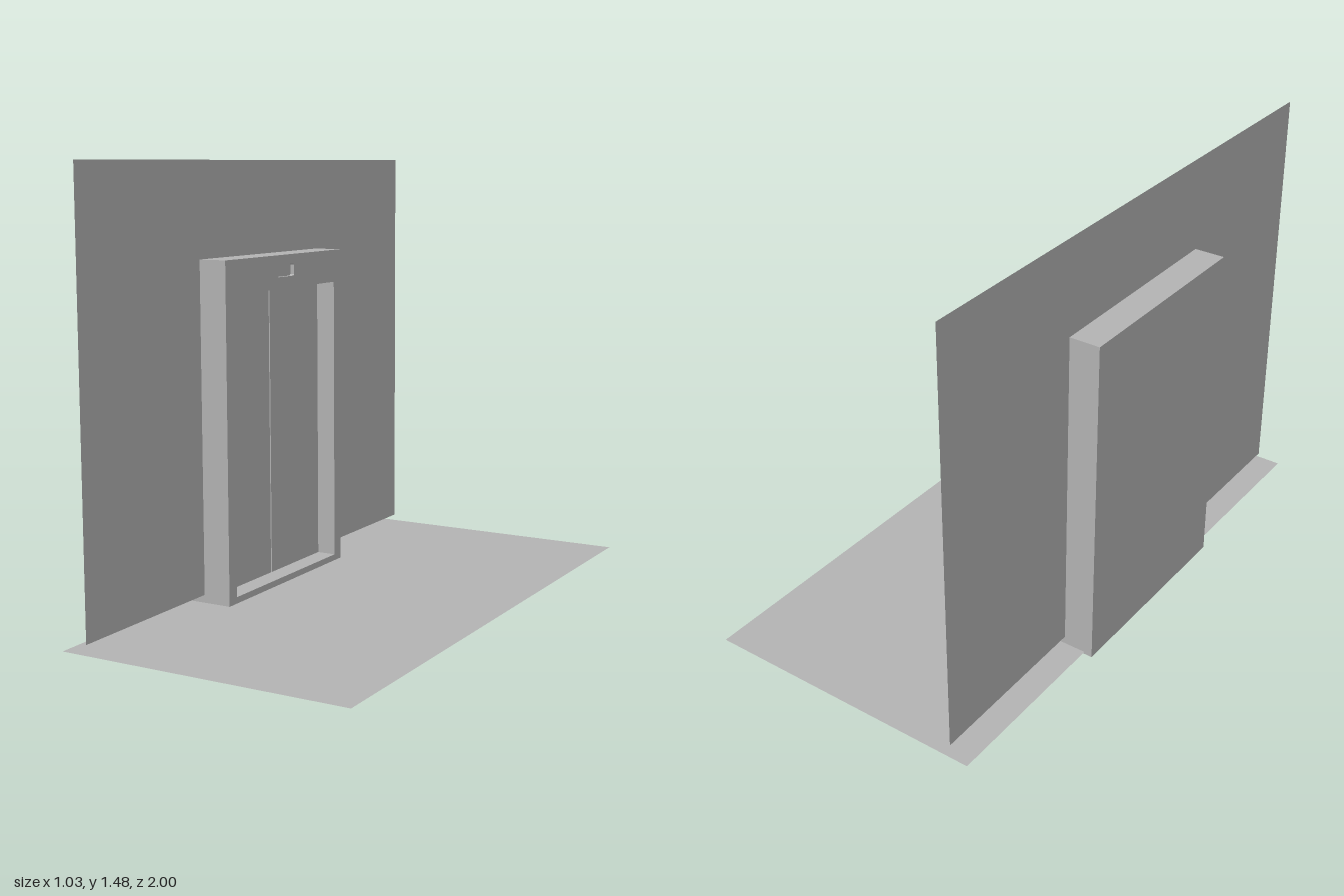
import * as THREE from 'three';

const grey = new THREE.MeshStandardMaterial({ color: 0xb3b3b3 });
grey.name = 'plain grey';
const greySheet = new THREE.MeshStandardMaterial({ color: 0xb3b3b3, side: THREE.DoubleSide });
greySheet.name = 'plain grey sheet';

// box given by its limits on each axis
function box(name, [x0, x1], [y0, y1], [z0, z1]) {
  const mesh = new THREE.Mesh(new THREE.BoxGeometry(x1 - x0, y1 - y0, z1 - z0), grey);
  mesh.position.set((x0 + x1) / 2, (y0 + y1) / 2, (z0 + z1) / 2);
  mesh.name = name;
  return mesh;
}

// rectangle with clipped corners; shape x runs along -z of the model
function outline(Type, [z0, z1], [y0, y1], c = 0) {
  const [a, b] = [-z1, -z0];
  const points = c
    ? [[a + c, y0], [b - c, y0], [b, y0 + c], [b, y1 - c], [b - c, y1], [a + c, y1], [a, y1 - c], [a, y0 + c]]
    : [[a, y0], [b, y0], [b, y1], [a, y1]];
  return new Type(points.map(([x, y]) => new THREE.Vector2(x, y)));
}

export function createModel() {
  const model = new THREE.Group();
  model.name = 'elevator';

  // floor and wall are single sheets
  const floor = new THREE.Mesh(new THREE.PlaneGeometry(1, 2).rotateX(-Math.PI / 2), greySheet);
  floor.position.set(0.013, 0.008, 0);
  floor.name = 'floor';
  const wall = new THREE.Mesh(new THREE.PlaneGeometry(1.965, 1.44).rotateY(Math.PI / 2), greySheet);
  wall.position.set(-0.41, 0.755, 0);
  wall.name = 'wall';
  model.add(floor, wall);

  // door frame with openings for the doors and the floor display
  const shape = outline(THREE.Shape, [-0.367, 0.367], [0, 1.155]);
  shape.holes.push(
    outline(THREE.Path, [-0.323, 0.323], [0.03, 1.04]),
    outline(THREE.Path, [-0.052, 0.052], [1.08, 1.122], 0.005)
  );
  const frameGeometry = new THREE.ExtrudeGeometry(shape, { depth: 0.09, bevelEnabled: false });
  const frame = new THREE.Mesh(frameGeometry.rotateY(Math.PI / 2), grey);
  frame.position.x = -0.4;
  frame.name = 'doorFrame';
  model.add(frame);

  // shaft behind the frame, and the recessed display
  model.add(box('shaftBack', [-0.515, -0.4], [0, 1.155], [-0.367, 0.367]));
  model.add(box('display', [-0.4, -0.325], [1.075, 1.127], [-0.057, 0.057]));

  // pair of sliding doors with a narrow gap
  model.add(box('leftDoor', [-0.4, -0.38], [0.03, 1.04], [-0.323, -0.003]));
  model.add(box('rightDoor', [-0.4, -0.38], [0.03, 1.04], [0.003, 0.323]));

  // call panel with two raised buttons
  const panel = new THREE.Group();
  panel.name = 'callPanel';
  panel.add(box('panelPlate', [-0.404, -0.387], [0.55, 0.675], [-0.484, -0.406]));
  for (const [name, y] of [['upButton', 0.645], ['downButton', 0.58]]) {
    panel.add(box(name, [-0.387, -0.377], [y - 0.02, y + 0.02], [-0.473, -0.418]));
  }
  model.add(panel);

  return model;
}
